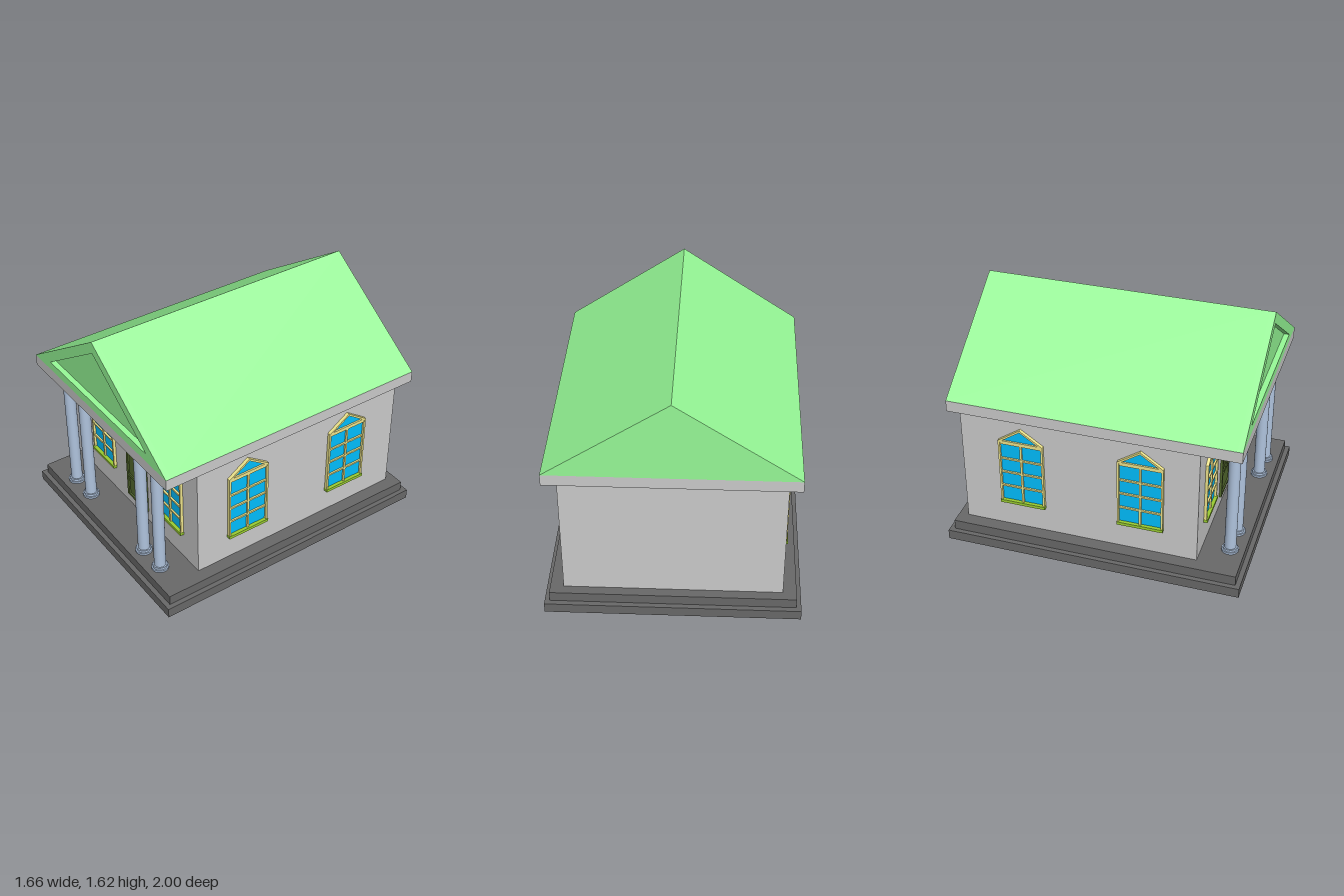
import * as THREE from 'three';

const mat = (color) => new THREE.MeshStandardMaterial({ color });
const stone = mat(0xc0c0c0), plinth = mat(0x696969), green = mat(0x98fb98), steel = mat(0xb0c4de);
const glassMat = mat(0x00bfff), trim = mat(0xf0e68c), sillMat = mat(0x9acd32), doorMat = mat(0x556b2f);

function add(parent, name, geometry, material, x = 0, y = 0, z = 0) {
  const mesh = new THREE.Mesh(geometry, material);
  mesh.name = name;
  mesh.position.set(x, y, z);
  parent.add(mesh);
  return mesh;
}

// Box given by its extents on each axis
function block(parent, name, material, [x0, x1], [y0, y1], [z0, z1]) {
  return add(parent, name, new THREE.BoxGeometry(x1 - x0, y1 - y0, z1 - z0), material,
    (x0 + x1) / 2, (y0 + y1) / 2, (z0 + z1) / 2);
}

const polygon = (points) => new THREE.Shape(points.map(([x, y]) => new THREE.Vector2(x, y)));
const extrude = (shape, depth) =>
  new THREE.ExtrudeGeometry(shape, { depth, bevelEnabled: false, curveSegments: 16 });

// Gabled window facing +z, standing on its sill at y = 0 against the wall at z = 0
function makeWindow(name, w, h) {
  const g = new THREE.Group();
  g.name = name;
  const hw = w / 2, shoulder = h * 0.825, t = 0.013;
  const pentagon = (i) => polygon([[-hw + i, i], [hw - i, i], [hw - i, shoulder - i * 0.5],
    [0, h - i * 1.2], [-hw + i, shoulder - i * 0.5]]);
  const frame = pentagon(0);
  frame.holes.push(pentagon(t));
  add(g, 'windowFrame', extrude(frame, 0.023), trim);
  add(g, 'glass', extrude(pentagon(t * 0.6), 0.006), glassMat);
  const bar = (n, x, y) => block(g, n, trim, x, y, [0, 0.018]);
  bar('mullion', [-0.007, 0.007], [0.02, shoulder - 0.02]);
  bar('transom', [-hw + t, hw - t], [shoulder - 0.026, shoulder]);
  for (const f of [0.225, 0.41, 0.59]) bar('glazingBar', [-hw + t, hw - t], [h * f - 0.006, h * f + 0.006]);
  block(g, 'sill', sillMat, [-hw - 0.002, hw + 0.002], [-0.001, 0.02], [0, 0.03]);
  return g;
}

// Round-headed outline for the door
function arch(r, bottom, spring) {
  const s = new THREE.Shape();
  s.moveTo(-r, bottom);
  s.lineTo(r, bottom);
  s.lineTo(r, spring);
  s.absarc(0, spring, r, 0, Math.PI, false);
  s.closePath();
  return s;
}

function makeDoor() {
  const g = new THREE.Group();
  g.name = 'door';
  const frame = arch(0.12, 0.217, 0.545);
  frame.holes.push(arch(0.098, 0.235, 0.545));
  add(g, 'doorFrame', extrude(frame, 0.016), doorMat);
  add(g, 'doorLeaf', extrude(arch(0.11, 0.225, 0.545), 0.006), doorMat);
  block(g, 'doorStile', doorMat, [-0.018, 0.018], [0.39, 0.645], [0, 0.015]);
  block(g, 'doorRail', doorMat, [-0.1, 0.1], [0.38, 0.405], [0, 0.015]);
  return g;
}

// Column as stacked drums: [radius, bottom, top]
function makeColumn(x) {
  const g = new THREE.Group();
  g.name = 'column';
  const drums = [['base', 0.057, 0.136, 0.15], ['baseRing', 0.048, 0.15, 0.166], ['shaft', 0.039, 0.166, 0.978],
    ['capitalRing', 0.048, 0.978, 0.992], ['capital', 0.057, 0.992, 1.01]];
  for (const [name, r, y0, y1] of drums) {
    add(g, name, new THREE.CylinderGeometry(r, r, y1 - y0, 24), steel, 0, (y0 + y1) / 2, 0);
  }
  g.position.set(x, 0, 0.87);
  return g;
}

export function createModel() {
  const model = new THREE.Group();
  model.name = 'house';

  // Stepped plinth, walls and eaves slab
  block(model, 'lowerStep', plinth, [-0.83, 0.83], [0, 0.068], [-1, 1]);
  block(model, 'upperStep', plinth, [-0.798, 0.798], [0.068, 0.136], [-0.965, 0.968]);
  block(model, 'walls', stone, [-0.71, 0.71], [0.136, 1.01], [-0.9, 0.69]);
  block(model, 'eaves', stone, [-0.792, 0.8], [1.01, 1.087], [-0.952, 0.967]);

  // Gable roof with a sunken triangle in the front pediment
  const gable = () => polygon([[-0.792, 1.087], [0.8, 1.087], [0.004, 1.622]]);
  add(model, 'roof', extrude(gable(), 1.882), green, 0, 0, -0.952);
  const rim = gable();
  rim.holes.push(polygon([[-0.58, 1.146], [0.004, 1.54], [0.588, 1.146]]));
  add(model, 'pedimentRim', extrude(rim, 0.037), green, 0, 0, 0.93);

  // Portico columns
  for (const x of [-0.54, -0.343, 0.34, 0.535]) model.add(makeColumn(x));

  // Door and front windows
  const door = makeDoor();
  door.position.z = 0.69;
  model.add(door);
  for (const x of [-0.418, 0.407]) {
    const win = makeWindow('frontWindow', 0.276, 0.54);
    win.position.set(x, 0.33, 0.687);
    model.add(win);
  }

  // Side windows
  for (const side of [-1, 1]) {
    for (const z of [0.312, -0.488]) {
      const win = makeWindow('sideWindow', 0.304, 0.588);
      win.position.set(side * 0.71, side > 0 ? 0.312 : 0.325, z);
      win.rotation.y = side * Math.PI / 2;
      model.add(win);
    }
  }
  return model;
}
